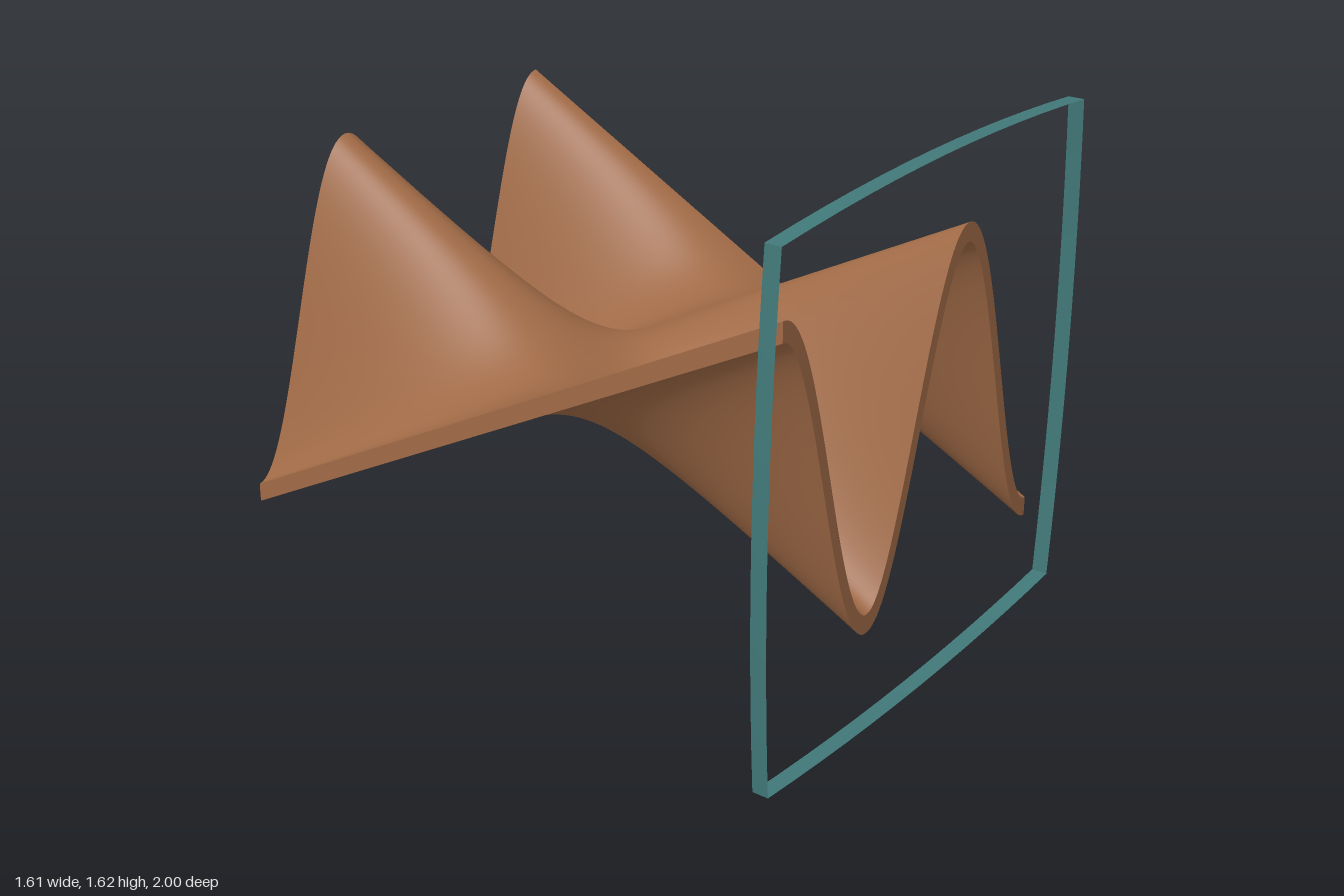
import * as THREE from 'three';

const CENTER_Y = 0.8125;

// Wavy sheet: straight rulings along z, sine across x, twisting through flat
function makeSheet(material) {
  const width = 1.375, length = 1.95, midZ = -0.025;
  const amplitude = 0.516, halfThickness = 0.03;
  const k = Math.PI / (width / 3);
  const geo = new THREE.BoxGeometry(width, 1, length, 120, 1, 40);
  const p = geo.attributes.position;
  for (let i = 0; i < p.count; i++) {
    const x = p.getX(i), t = p.getZ(i) / (length / 2);
    const slope = amplitude * t * k * Math.cos(k * x);
    // thicker vertically where steep, so the wall stays even
    const half = halfThickness * Math.hypot(1, 0.55 * slope);
    p.setY(i, amplitude * t * Math.sin(k * x) + Math.sign(p.getY(i)) * half);
  }
  geo.computeVertexNormals();
  const mesh = new THREE.Mesh(geo, material);
  mesh.name = 'wavySheet';
  mesh.position.set(0, CENTER_Y, midZ);
  return mesh;
}

// One bowed side of the frame: a thin ribbon, bulging outward along +y
function makeFrameSide(name, halfSpan, offset, bulge, angle, material) {
  const geo = new THREE.PlaneGeometry(halfSpan * 2, 0.05, 12, 1).rotateX(-Math.PI / 2);
  const p = geo.attributes.position;
  for (let i = 0; i < p.count; i++) {
    const u = p.getX(i) / halfSpan;
    p.setY(i, offset + bulge * (1 - u * u));
  }
  geo.computeVertexNormals();
  const mesh = new THREE.Mesh(geo, material);
  mesh.name = name;
  mesh.rotation.z = angle;
  return mesh;
}

export function createModel() {
  const brown = new THREE.MeshStandardMaterial({ color: 0xa06a46 });
  brown.name = 'copper brown';
  const teal = new THREE.MeshStandardMaterial({ color: 0x417878, side: THREE.DoubleSide });
  teal.name = 'teal';

  const model = new THREE.Group();
  model.name = 'waveModel';
  model.add(makeSheet(brown));

  // Frame standing at the front edge
  const frame = new THREE.Group();
  frame.name = 'frame';
  frame.position.set(0, CENTER_Y, 0.975);
  const halfW = 0.777, halfH = 0.778;
  frame.add(
    makeFrameSide('frameTop', halfW, halfH, 0.0345, 0, teal),
    makeFrameSide('frameBottom', halfW, halfH, 0.0345, Math.PI, teal),
    makeFrameSide('frameLeft', halfH, halfW, 0.03, -Math.PI / 2, teal),
    makeFrameSide('frameRight', halfH, halfW, 0.03, Math.PI / 2, teal),
  );
  model.add(frame);
  return model;
}
